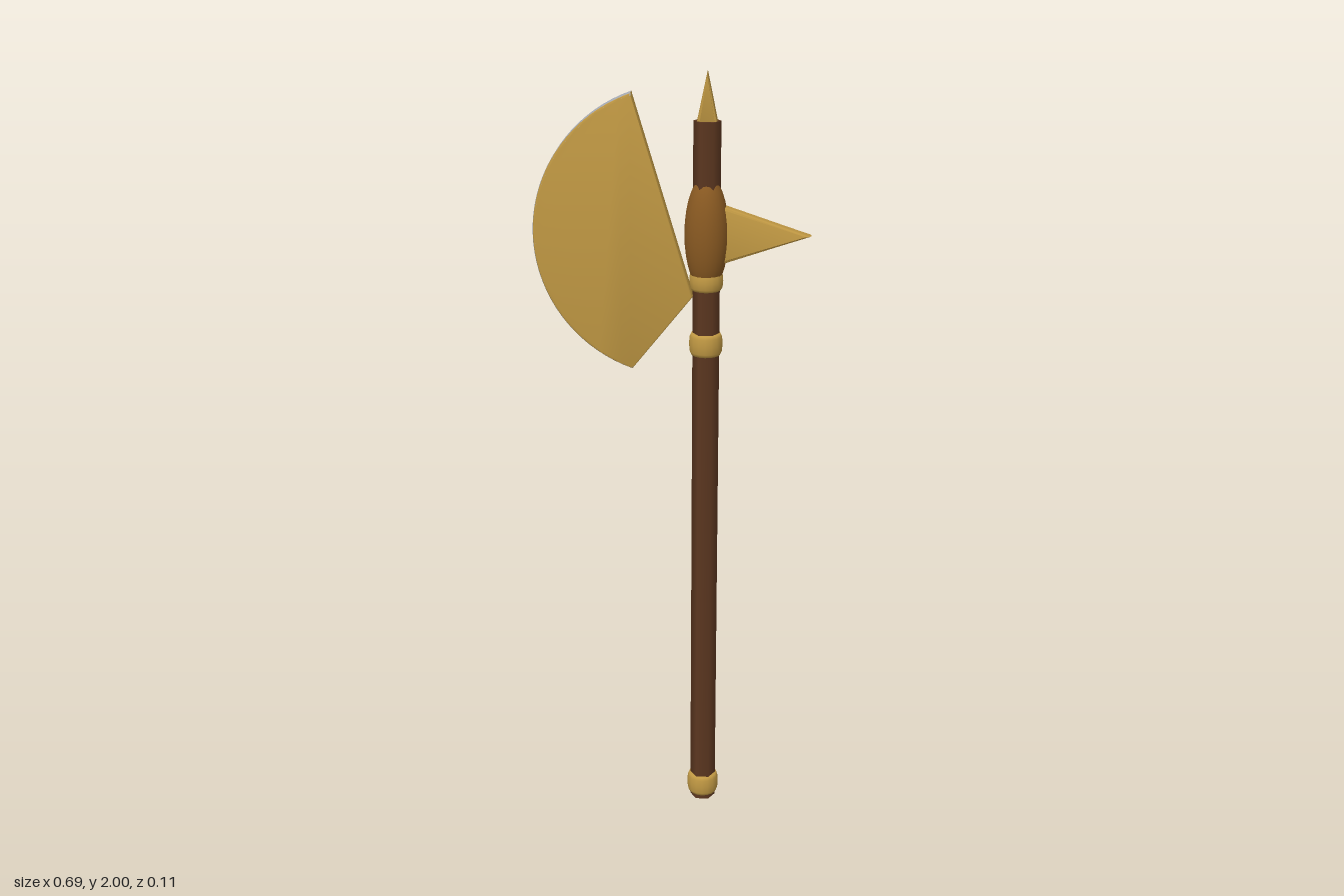
import * as THREE from 'three';
import { toCreasedNormals } from 'three/addons/utils/BufferGeometryUtils.js';

const gold = new THREE.MeshStandardMaterial({ color: 0xc09843 });
const bronze = new THREE.MeshStandardMaterial({ color: 0x8a5a22 });
const wood = new THREE.MeshStandardMaterial({ color: 0x5c3720 });
const steel = new THREE.MeshStandardMaterial({ color: 0xa9adb6, side: THREE.DoubleSide });

const AXIS = 0.085; // x of the shaft
const HEAD_Y = 1.6; // height of the blade and back spike

function add(group, name, geometry, material, x = 0, y = 0) {
  const mesh = new THREE.Mesh(geometry, material);
  mesh.name = name;
  mesh.position.set(x, y, 0);
  group.add(mesh);
  return mesh;
}

// Flat plate with bevelled edges, centred on z = 0, outline kept at full size
function plate(shape, halfDepth, bevel) {
  const geometry = new THREE.ExtrudeGeometry(shape, {
    depth: 2 * (halfDepth - bevel), curveSegments: 28, bevelEnabled: true,
    bevelSize: bevel, bevelOffset: -bevel, bevelThickness: bevel, bevelSegments: 2,
  });
  geometry.translate(0, 0, bevel - halfDepth);
  return toCreasedNormals(geometry, 0.6);
}

function triangle(a, b, c) {
  return new THREE.Shape([a, b, c].map(([x, y]) => new THREE.Vector2(x, y)));
}

export function createModel() {
  const axe = new THREE.Group();
  axe.name = 'battleAxe';

  // Six-sided shaft with corners facing left and right
  const shaft = new THREE.CylinderGeometry(0.034, 0.034, 1.88, 6);
  shaft.rotateY(Math.PI / 6);
  add(axe, 'shaft', shaft, wood, AXIS, 0.94);

  // Oval boss holding the head
  const boss = new THREE.SphereGeometry(0.055, 24, 16);
  boss.scale(1, 2.7, 1);
  add(axe, 'headBoss', boss, bronze, AXIS, HEAD_Y);

  // Rounded collars: centre height and half height
  for (const [name, y, h] of [['pommelRing', 0.042, 0.028], ['gripRing', 1.318, 0.028], ['headRing', 1.482, 0.023]]) {
    const profile = [[0.028, -h], [0.037, -h], [0.041, -h * 0.7], [0.0425, 0], [0.041, h * 0.7], [0.037, h], [0.028, h]];
    const ring = new THREE.LatheGeometry(profile.map(([r, v]) => new THREE.Vector2(r, v)), 16);
    add(axe, name, ring, gold, AXIS, y);
  }

  // Fan-shaped blade
  const R = 0.368, cx = 0.023, half = Math.atan2(0.347, 0.123);
  const fan = new THREE.Shape();
  fan.moveTo(0.052, 0.157);
  fan.absarc(cx, 0, R, Math.PI - half, Math.PI + half, false);
  fan.lineTo(0.052, -0.157);
  fan.closePath();
  add(axe, 'blade', plate(fan, 0.02, 0.005), gold, 0, HEAD_Y);

  // Steel cutting edge wrapped around the curved rim
  const edgeProfile = [[-5, -20], [-2, -18.5], [0.5, -15], [0.5, 15], [-2, 18.5], [-5, 20]]
    .map(([r, v]) => new THREE.Vector2(R + r / 1000, v / 1000));
  const edge = new THREE.LatheGeometry(edgeProfile, 36, -Math.PI / 2 - half, 2 * half);
  edge.rotateX(Math.PI / 2);
  add(axe, 'cuttingEdge', edge, steel, cx, HEAD_Y);

  // Back spike and top spike
  add(axe, 'backSpike', plate(triangle([0.1, -0.082], [0.343, 0], [0.1, 0.082]), 0.018, 0.01), gold, 0, HEAD_Y);
  add(axe, 'topSpike', plate(triangle([-0.027, 0], [0.027, 0], [0, 0.13]), 0.018, 0.008), gold, AXIS, 1.87);

  return axe;
}
